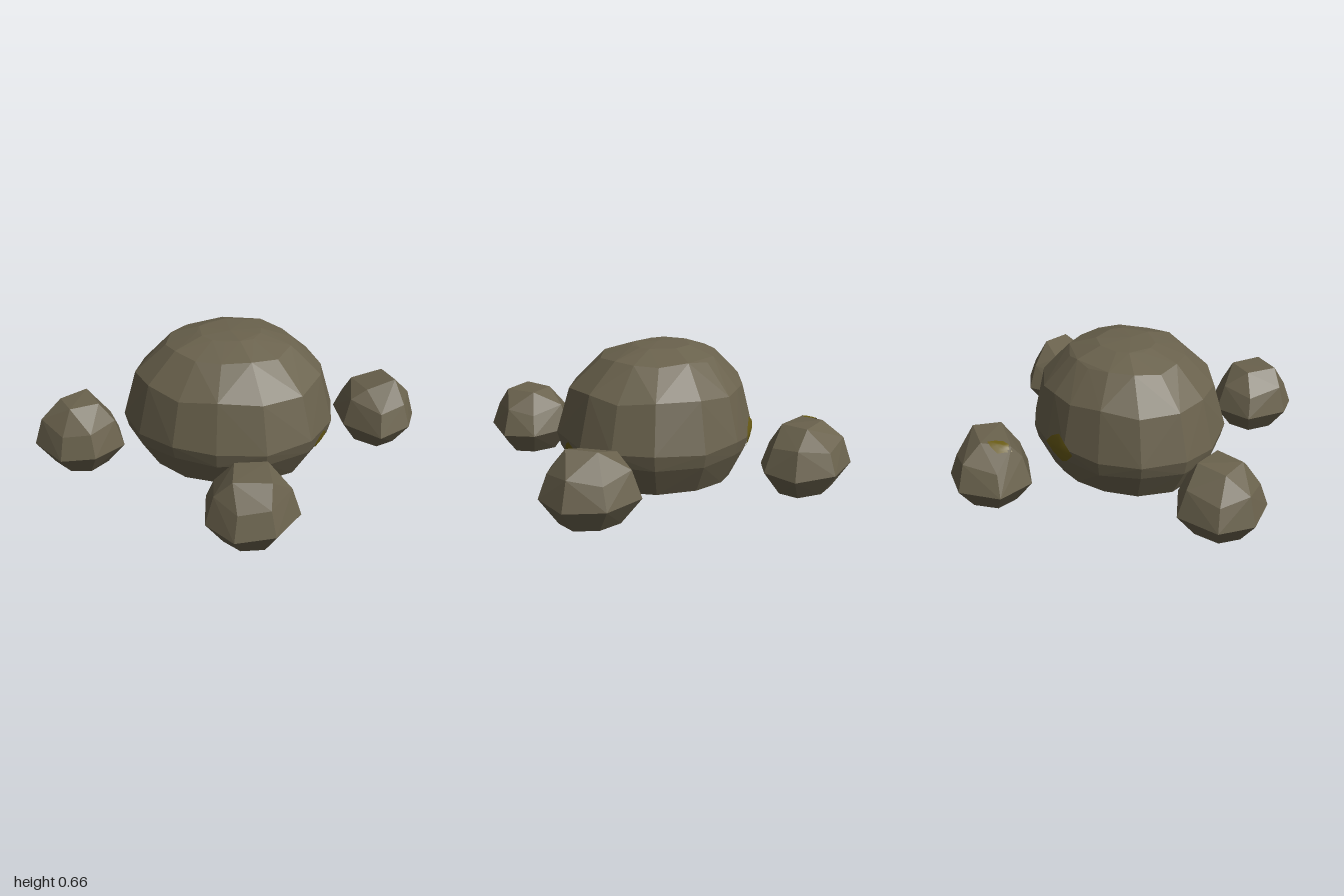
import * as THREE from 'three';
import { ConvexGeometry } from 'three/addons/geometries/ConvexGeometry.js';

const stone = new THREE.MeshStandardMaterial({ color: 0x6a624d });
stone.name = 'stone';
const moss = new THREE.MeshStandardMaterial({ color: 0x6b5d16, side: THREE.DoubleSide });
moss.name = 'moss';

// Faceted rock: scaled copies of a ground outline [x, z], stacked as [y, scale, yJitter], plus cap points [x, y, z]
function rock(name, outline, rings, cap) {
  const cx = outline.reduce((s, p) => s + p[0], 0) / outline.length;
  const cz = outline.reduce((s, p) => s + p[1], 0) / outline.length;
  const points = cap.map((p) => new THREE.Vector3(...p));
  for (const [y, scale, jitter] of rings) {
    outline.forEach(([x, z], i) => points.push(new THREE.Vector3(
      cx + (x - cx) * scale, y + jitter * Math.sin(i * 2.4 + y * 9), cz + (z - cz) * scale)));
  }
  const mesh = new THREE.Mesh(new ConvexGeometry(points), stone);
  mesh.name = name;
  return mesh;
}

// Thin moss patch draped over a rock by casting rays along the direction towards its surface
function mossPatch(target, centre, direction, rx, ry) {
  const dir = new THREE.Vector3(...direction).normalize();
  const side = new THREE.Vector3(0, 1, 0).cross(dir).normalize();
  const up = dir.clone().cross(side);
  const caster = new THREE.Raycaster();
  const sides = 8, ringCount = 3, positions = [], index = [];
  const drape = (u, v) => {
    const from = new THREE.Vector3(...centre).addScaledVector(side, u).addScaledVector(up, v);
    caster.set(from.clone().addScaledVector(dir, 1), dir.clone().negate());
    const hit = caster.intersectObject(target)[0];
    const p = (hit ? hit.point : from).clone().addScaledVector(dir, 0.006);
    positions.push(p.x, p.y, p.z);
  };
  drape(0, 0);
  for (let r = 1; r <= ringCount; r++) {
    for (let i = 0; i < sides; i++) {
      const a = (i / sides) * Math.PI * 2;
      const k = (r / ringCount) * (i % 2 ? 0.82 : 1);
      drape(Math.cos(a) * rx * k, Math.sin(a) * ry * k);
      const n = (i + 1) % sides, outer = 1 + (r - 1) * sides, inner = outer - sides;
      if (r === 1) index.push(0, outer + i, outer + n);
      else index.push(inner + i, outer + i, outer + n, inner + i, outer + n, inner + n);
    }
  }
  const geometry = new THREE.BufferGeometry();
  geometry.setAttribute('position', new THREE.Float32BufferAttribute(positions, 3));
  geometry.setIndex(index);
  geometry.computeVertexNormals();
  const mesh = new THREE.Mesh(geometry, moss);
  mesh.name = 'mossPatch';
  return mesh;
}

export function createModel() {
  const model = new THREE.Group();
  model.name = 'rockCluster';

  // Large central boulder
  const boulder = rock('boulder',
    [[0.14, -0.48], [0.33, -0.39], [0.49, -0.2], [0.535, 0], [0.49, 0.19], [0.34, 0.4], [0.11, 0.48],
      [-0.13, 0.45], [-0.33, 0.36], [-0.48, 0.18], [-0.545, -0.01], [-0.48, -0.22], [-0.33, -0.37],
      [-0.15, -0.46], [0, -0.48]],
    [[0, 0.8, 0], [0.15, 0.965, 0.01], [0.22, 1, 0.01], [0.455, 0.88, 0.012], [0.6, 0.59, 0.008], [0.65, 0.3, 0.003]],
    [[0, 0.66, 0]]);

  // Four small rocks around it
  const smallRings = [[0, 0.6, 0], [0.115, 1, 0.01], [0.235, 0.81, 0.02]];
  const rightRock = rock('rightRock',
    [[-0.77, -0.21], [-0.58, -0.08], [-0.555, 0.11], [-0.7, 0.25], [-0.87, 0.22], [-1, 0.05], [-0.96, -0.12]],
    smallRings,
    [[-0.86, 0.33, -0.02], [-0.73, 0.345, -0.08], [-0.67, 0.335, 0.07], [-0.81, 0.335, 0.11]]);
  const leftRock = rock('leftRock',
    [[0.73, -0.25], [0.91, -0.17], [0.995, 0], [0.92, 0.16], [0.75, 0.23], [0.59, 0.08], [0.59, -0.14]],
    smallRings,
    [[0.67, 0.3, -0.1], [0.83, 0.345, -0.09], [0.86, 0.35, 0.05], [0.71, 0.305, 0.06]]);
  const frontRock = rock('frontRock',
    [[-0.02, 0.54], [0.16, 0.65], [0.205, 0.81], [0.06, 0.98], [-0.12, 0.97], [-0.23, 0.84], [-0.2, 0.62]],
    smallRings,
    [[-0.08, 0.33, 0.69], [0.07, 0.33, 0.7], [0.06, 0.33, 0.87], [-0.11, 0.335, 0.85]]);
  const backRock = rock('backRock',
    [[-0.1, -0.98], [0.1, -0.95], [0.26, -0.8], [0.22, -0.64], [0.04, -0.57], [-0.19, -0.65], [-0.24, -0.83]],
    smallRings,
    [[-0.06, 0.33, -0.84], [0.12, 0.33, -0.81], [0.08, 0.33, -0.68], [-0.14, 0.315, -0.72]]);
  model.add(boulder, rightRock, leftRock, frontRock, backRock);

  // Moss patches
  model.add(
    mossPatch(boulder, [0.43, 0.165, 0.29], [0.8, 0, 0.6], 0.07, 0.05),
    mossPatch(boulder, [-0.1, 0.21, -0.46], [-0.2, 0.1, -1], 0.1, 0.08),
    mossPatch(backRock, [-0.11, 0.31, -0.765], [-0.1, 1, -0.1], 0.06, 0.035));
  return model;
}
